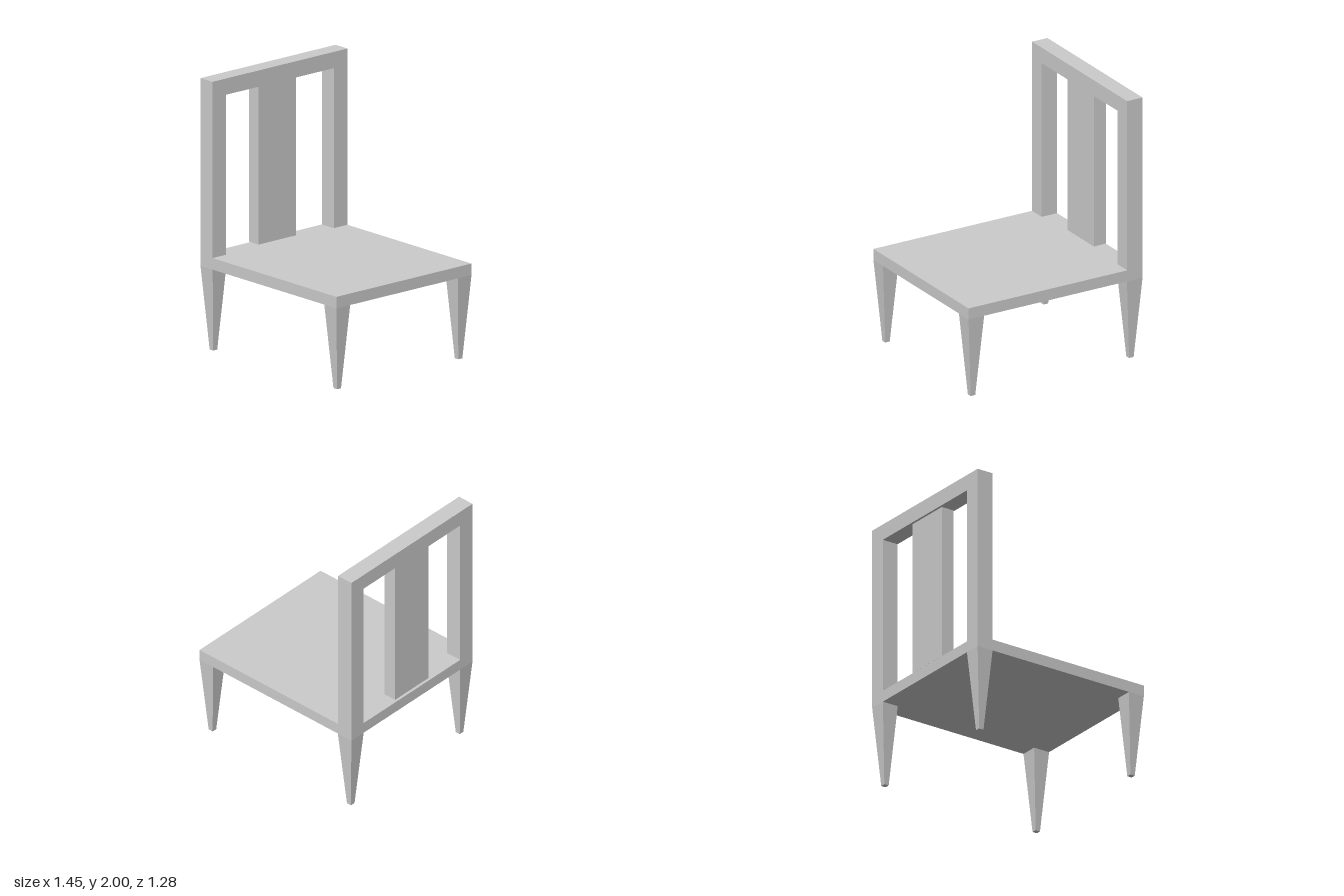
import * as THREE from 'three';

const material = new THREE.MeshStandardMaterial({ color: 0xcccccc, flatShading: true });

// Box given by its lower and upper limits on each axis
function block(name, [x0, x1], [y0, y1], [z0, z1]) {
  const mesh = new THREE.Mesh(new THREE.BoxGeometry(x1 - x0, y1 - y0, z1 - z0), material);
  mesh.name = name;
  mesh.position.set((x0 + x1) / 2, (y0 + y1) / 2, (z0 + z1) / 2);
  return mesh;
}

// Square leg narrowing to a small foot
function taperedLeg(name, x, z) {
  const height = 0.615, top = 0.13, foot = 0.038;
  const geometry = new THREE.BoxGeometry(top, height, top);
  const p = geometry.attributes.position;
  for (let i = 0; i < p.count; i++) {
    if (p.getY(i) < 0) {
      p.setX(i, p.getX(i) * foot / top);
      p.setZ(i, p.getZ(i) * foot / top);
    }
  }
  geometry.computeVertexNormals();
  const mesh = new THREE.Mesh(geometry, material);
  mesh.name = name;
  mesh.position.set(x, height / 2, z);
  return mesh;
}

export function createModel() {
  const chair = new THREE.Group();
  chair.name = 'chair';

  chair.add(block('seat', [-0.725, 0.725], [0.615, 0.7], [-0.64, 0.64]));

  // Legs and back posts, mirrored across z
  for (const side of [-1, 1]) {
    const z = side * 0.575;
    chair.add(taperedLeg('frontLeg', 0.66, z));
    chair.add(taperedLeg('backLeg', -0.66, z));
    chair.add(block('backPost', [-0.725, -0.597], [0.7, 1.88], [z - 0.065, z + 0.065]));
  }

  // Top rail and the slightly offset central slat
  chair.add(block('topRail', [-0.725, -0.597], [1.88, 2], [-0.64, 0.64]));
  chair.add(block('backSlat', [-0.713, -0.613], [0.71, 1.875], [-0.165, 0.19]));

  return chair;
}
